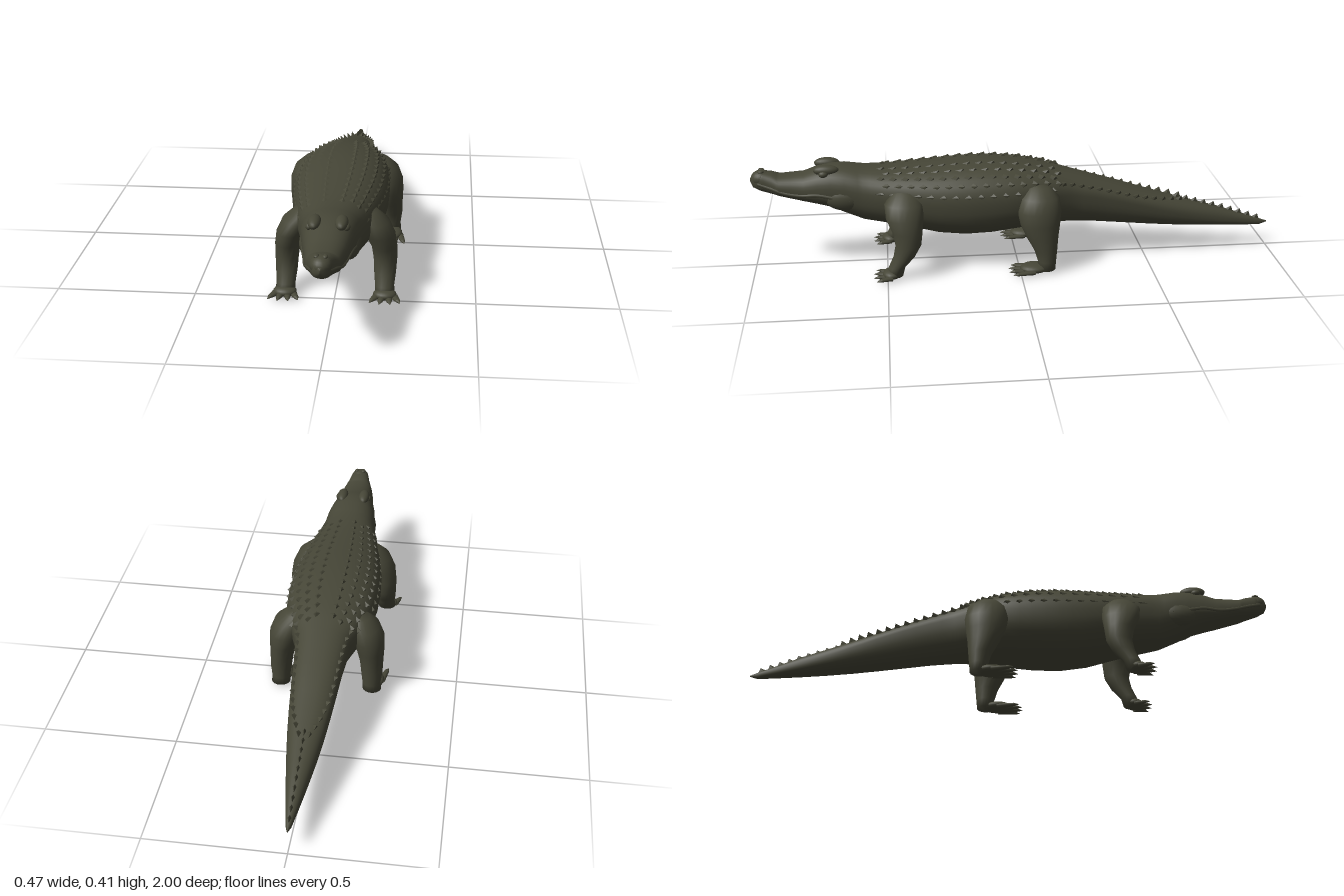
import * as THREE from 'three';
import { mergeGeometries } from 'three/addons/utils/BufferGeometryUtils.js';

const hide = new THREE.MeshStandardMaterial({ color: 0x464637 });
hide.name = 'dark olive hide';

// Body stations from snout to tail tip: z, top, bottom, half width, height of widest point (0..1)
const STATIONS = [
  [1.0, .35, .34, 0, .5], [.99, .368, .318, .022, .5], [.96, .382, .303, .037, .5],
  [.92, .375, .293, .048, .4], [.89, .364, .285, .06, .4], [.8, .37, .262, .073, .4],
  [.75, .388, .25, .083, .42], [.7, .398, .236, .091, .45], [.65, .398, .212, .1, .5],
  [.58, .388, .182, .108, .52], [.5, .384, .168, .127, .54], [.4, .388, .148, .148, .55],
  [.3, .394, .124, .166, .55], [.2, .4, .114, .176, .55], [.1, .4, .118, .176, .55],
  [0, .39, .13, .168, .57], [-.1, .372, .14, .14, .62], [-.2, .344, .14, .102, .66],
  [-.3, .314, .134, .091, .68], [-.4, .284, .124, .084, .68], [-.5, .252, .114, .076, .66],
  [-.6, .222, .105, .066, .6], [-.7, .194, .098, .053, .52], [-.8, .166, .092, .038, .45],
  [-.9, .132, .087, .022, .45], [-.97, .108, .084, .01, .5], [-1, .098, .094, 0, .5],
];

function stationAt(z) {
  let i = 0;
  while (i < STATIONS.length - 2 && STATIONS[i + 1][0] > z) i++;
  const a = STATIONS[i], b = STATIONS[i + 1];
  const t = (a[0] - z) / (a[0] - b[0]);
  return a.map((v, k) => v + (b[k] - v) * t);
}

// Point on the body skin at station z and angle a (0 = side, 90 degrees = spine)
function skin(z, a) {
  const [, top, bottom, w, m] = stationAt(z);
  const mid = bottom + (top - bottom) * m;
  const bend = v => Math.sign(v) * Math.abs(v) ** .87;
  const c = bend(Math.cos(a)), s = bend(Math.sin(a));
  return new THREE.Vector3(w * c, mid + s * (s > 0 ? top - mid : mid - bottom), z);
}

// Closed tube through rings of points, with shared vertices for smooth shading
function loft(rings) {
  const n = rings[0].length, index = [];
  for (let i = 0; i < rings.length - 1; i++) {
    for (let j = 0; j < n; j++) {
      const a = i * n + j, b = a + n, c = i * n + (j + 1) % n, d = c + n;
      index.push(a, b, c, b, d, c);
    }
  }
  const g = new THREE.BufferGeometry().setFromPoints(rings.flat());
  g.setIndex(index);
  g.computeVertexNormals();
  return g;
}

function ring(n, point) {
  return Array.from({ length: n }, (_, j) => point(j / n * Math.PI * 2));
}

// Upright limb; each row is y, x, z, x radius, z radius
function limb(rows, side) {
  return loft(rows.map(([y, x, z, rx, rz]) => ring(20, a =>
    new THREE.Vector3(side * x + rx * Math.cos(a), y, z - rz * Math.sin(a)))));
}

function mesh(name, geometry) {
  const m = new THREE.Mesh(geometry, hide);
  m.name = name;
  return m;
}

function ellipsoid(x, y, z, rx, ry, rz) {
  return new THREE.SphereGeometry(1, 20, 14).scale(rx, ry, rz).translate(x, y, z);
}

// Keeled scale: four-sided spike leaning toward the tail
function scute(p, tilt, w, h, l) {
  const g = new THREE.ConeGeometry(1, 1, 4).toNonIndexed();
  const pos = g.attributes.position;
  for (let i = 0; i < pos.count; i++) if (pos.getY(i) > 0) pos.setZ(i, -.7);
  g.computeVertexNormals();
  return g.scale(w, h, l).rotateZ(tilt).translate(p.x, p.y + h * .12, p.z);
}

// Flat webbed foot with splayed, clawed toes
function foot(side, z, length, splay) {
  const parts = [ellipsoid(side * .178, .018, z + length * .3, .042, .019, length * .5)];
  [-1.5, -.5, .5, 1.5].forEach(k => {
    const toeLength = length * (Math.abs(k) > 1 ? .6 : .68);
    const toe = new THREE.CylinderGeometry(.009, .016, toeLength, 10)
      .rotateX(Math.PI / 2).scale(1, .65, 1).translate(0, 0, toeLength / 2);
    const claw = new THREE.ConeGeometry(.009, .022, 8)
      .rotateX(Math.PI / 2 + .15).scale(1, .75, 1).translate(0, -.001, toeLength + .01);
    parts.push(...[toe, claw].map(g => g.rotateY(k * splay)
      .translate(side * .18 + k * .019, .0115, z + length * .33)));
  });
  return mergeGeometries(parts);
}

const FRONT_LEG = [
  [.33, .1, .43, 0, 0], [.318, .11, .43, .035, .045], [.28, .135, .432, .053, .072],
  [.23, .158, .43, .053, .07], [.18, .172, .422, .046, .056], [.13, .176, .42, .042, .048],
  [.085, .176, .437, .039, .04], [.045, .176, .464, .034, .031], [.012, .178, .475, .036, .033],
  [.002, .178, .475, 0, 0],
];
const HIND_LEG = [
  [.335, .115, -.07, 0, 0], [.325, .122, -.07, .038, .045], [.29, .14, -.073, .06, .075],
  [.24, .156, -.073, .063, .083], [.19, .167, -.075, .053, .075], [.14, .173, -.083, .045, .06],
  [.09, .176, -.095, .041, .044], [.045, .176, -.1, .035, .035], [.012, .178, -.098, .036, .034],
  [.002, .178, -.098, 0, 0],
];

export function createModel() {
  const model = new THREE.Group();
  model.name = 'crocodile';

  // Snout, head, trunk and tail in one skin
  const zs = [...new Set([...STATIONS.map(s => s[0]),
    ...Array.from({ length: 39 }, (_, i) => +(.95 - i * .05).toFixed(2))])].sort((a, b) => b - a);
  model.add(mesh('body', loft(zs.map(z => ring(36, a => skin(z, a))))));

  // Head details
  const head = new THREE.Group();
  head.name = 'head';
  head.add(mesh('noseBulb', ellipsoid(0, .352, .957, .036, .031, .04)));
  for (const s of [1, -1]) {
    const name = s > 0 ? 'left' : 'right';
    head.add(mesh(name + 'Brow', ellipsoid(s * .045, .389, .715, .022, .02, .048)));
    head.add(mesh(name + 'Eye', ellipsoid(s * .06, .378, .725, .014, .013, .018)));
    head.add(mesh(name + 'Jowl', ellipsoid(s * .065, .285, .64, .04, .05, .085)));
    head.add(mesh(name + 'Nostril', ellipsoid(s * .014, .38, .958, .009, .006, .012)));
    // Upper lip overhanging the mouth line
    const lip = [.97, .92, .87, .81, .75, .69, .63].map((z, i) => {
      const p = skin(z, -.12 + .06 * Math.sin(i * 2));
      return new THREE.Vector3(s * (p.x - .003), p.y, z);
    });
    head.add(mesh(name + 'Lip', new THREE.TubeGeometry(new THREE.CatmullRomCurve3(lip), 30, .007, 8)));
  }
  model.add(head);

  // Armour rows along the back: angle above the side, scale height
  const rows = [[78, .012], [62, .013], [46, .015], [30, .015], [12, .013]];
  const armour = [];
  rows.forEach(([deg, h], r) => {
    const a = deg * Math.PI / 180;
    for (let z = .52 - (r % 2) * .02; z > -.15; z -= .046) {
      for (const s of [1, -1]) {
        const p = skin(z, a);
        p.x *= s;
        armour.push(scute(p, -s * (Math.PI / 2 - a), .016, h, .024));
      }
    }
  });
  model.add(mesh('backScutes', mergeGeometries(armour)));

  // Paired tail crests that close in to one
  const crest = [];
  for (let z = -.16; z > -.64; z -= .036) {
    const t = Math.max(0, (-z - .4) / .25);
    const a = THREE.MathUtils.lerp(.5, 1.45, t * t);
    for (const s of [1, -1]) {
      const p = skin(z, a);
      p.x *= s;
      crest.push(scute(p, -s * (1.1 - a * .6), .012, .024, .024));
    }
  }
  for (let z = -.62; z > -.97; z -= .036) {
    crest.push(scute(skin(z, Math.PI / 2), 0, .009, .026 + z * .006, .024));
  }
  model.add(mesh('tailCrest', mergeGeometries(crest)));

  // Legs and feet
  for (const s of [1, -1]) {
    const name = s > 0 ? 'left' : 'right';
    model.add(mesh(name + 'FrontLeg', limb(FRONT_LEG, s)));
    model.add(mesh(name + 'FrontFoot', foot(s, .465, .068, .3)));
    model.add(mesh(name + 'HindLeg', limb(HIND_LEG, s)));
    model.add(mesh(name + 'HindFoot', foot(s, -.085, .11, .17)));
  }
  return model;
}
